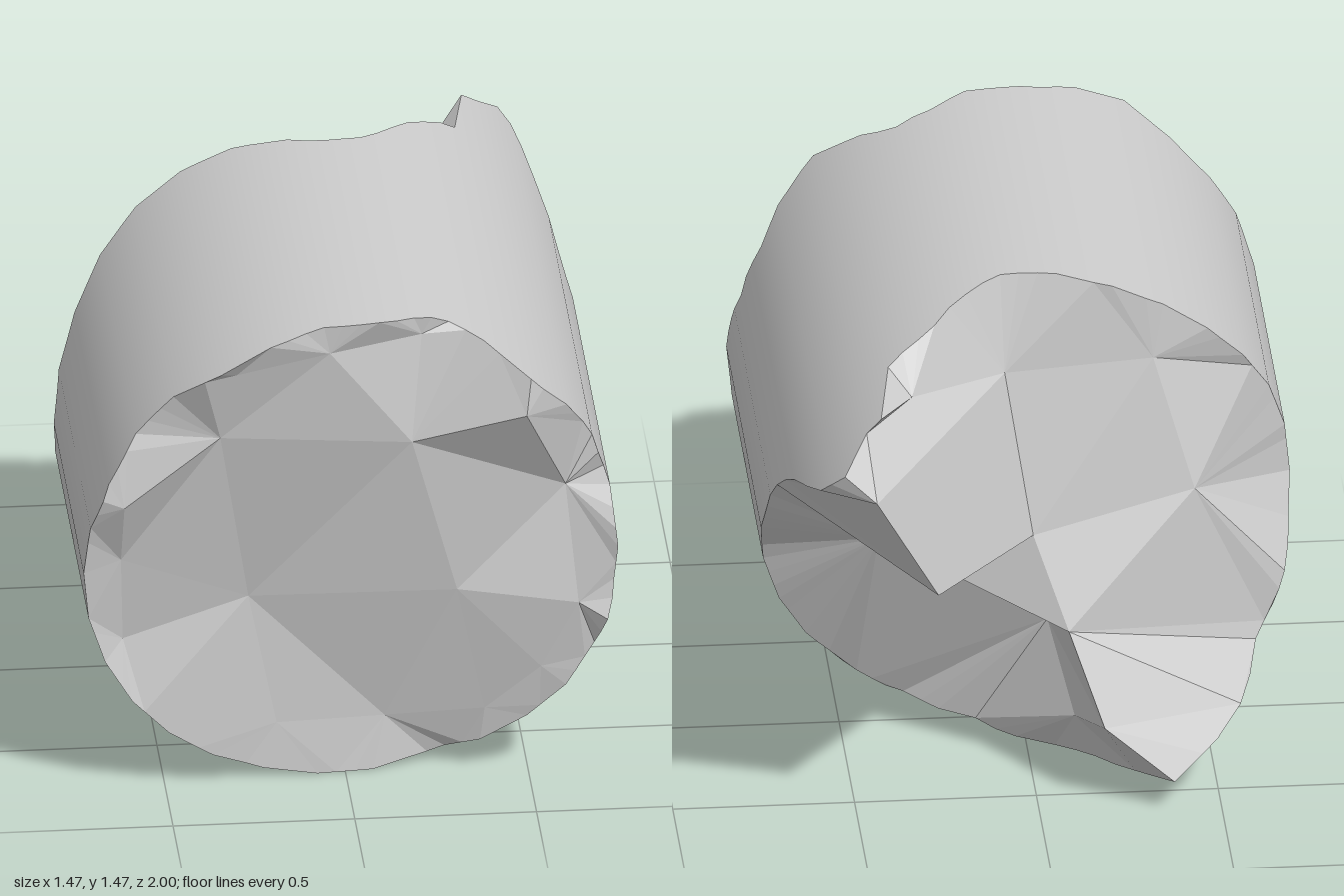
import * as THREE from 'three';

const R = 0.737, STEP = 4, SIDES = 360 / STEP, FACET = 12;

// Ragged rims: [angle in degrees from +x, z]
const frontRim = [
  [0, 0.86], [5, 0.85], [10, 0.81], [15, 0.75], [18, 0.79], [26, 0.76], [35, 0.84], [47, 0.92], [56, 0.87],
  [61, 0.84], [67, 0.80], [75, 0.83], [83, 0.90], [90, 0.915], [98, 0.92], [106, 0.96], [120, 1.0],
  [133, 0.93], [143, 0.92], [150, 0.95], [161, 0.97], [170, 0.92], [180, 0.90], [195, 0.86], [215, 0.83],
  [235, 0.78], [250, 0.73], [265, 0.71], [275, 0.70], [290, 0.66], [300, 0.73], [313, 0.78], [325, 0.83],
  [337, 0.84], [343, 0.91], [350, 0.85], [360, 0.86],
];
const backRim = [
  [0, -0.26], [5, -0.31], [13, -0.38], [17, -0.42], [21, -0.5], [26, -0.63], [30, -0.8], [35, -0.88],
  [42, -0.94], [45, -0.83], [52, -0.79], [56, -0.53], [62, -0.49], [68, -0.43], [74, -0.33], [82, -0.24],
  [90, -0.23], [106, -0.27], [118, -0.27], [133, -0.24], [145, -0.18], [157, -0.1], [172, -0.04],
  [180, -0.03], [190, -0.13], [197, -0.26], [205, -0.24], [212, -0.28], [219, -0.5], [230, -0.58],
  [240, -0.64], [246, -0.52], [255, -0.33], [263, -0.2], [272, -0.13], [280, -0.03], [290, 0.0],
  [297, 0.03], [307, 0.0], [313, 0.01], [320, -0.03], [330, -0.07], [341, -0.12], [351, -0.15], [360, -0.26],
];

// Peaks and dents inside each broken end: [x, y, z]
const frontPeaks = [
  [-0.36, 1.13, 0.89], [0.17, 1.08, 0.86], [0.2, 1.39, 0.82], [0.48, 1.18, 0.93], [0.6, 0.89, 0.77],
  [-0.63, 0.75, 0.85], [-0.63, 0.96, 0.96], [-0.27, 0.57, 0.74], [0.3, 0.59, 0.79], [-0.19, 0.17, 0.72],
  [0.11, 0.16, 0.68], [-0.62, 0.48, 0.79], [0.38, 0.2, 0.74], [0.63, 0.56, 0.84], [0.53, 0.35, 0.8],
  [-0.06, 1.385, 0.91], [-0.32, 1.35, 0.95],
];
const backPeaks = [
  [0, 0.75, -0.4], [0.3, 0.81, -0.87], [0.48, 1.16, -1.0], [0.35, 1.28, -0.59], [0.07, 1.2, -0.3],
  [-0.34, 1.22, -0.28], [-0.45, 0.84, -0.33], [-0.09, 0.5, -0.5], [-0.18, 0.25, -0.6],
  [-0.06, 0.37, -0.15], [-0.12, 0.16, -0.33], [0.41, 0.67, -0.22],
];

function rimZ(profile, deg) {
  const i = Math.max(1, profile.findIndex(p => p[0] >= deg));
  const [a0, z0] = profile[i - 1], [a1, z1] = profile[i];
  return z0 + (z1 - z0) * (deg - a0) / (a1 - a0);
}

// Rim of the many-sided column, corners every FACET degrees
function rimPoints(profile) {
  const rad = Math.PI / 180;
  return Array.from({ length: SIDES }, (_, i) => {
    const deg = i * STEP, t = deg * rad;
    const r = R * Math.cos(FACET / 2 * rad) / Math.cos((deg % FACET - FACET / 2) * rad);
    return [r * Math.cos(t), R + r * Math.sin(t), rimZ(profile, deg)];
  });
}

// Delaunay triangles in the xy plane, counter-clockwise
function triangulate(pts) {
  const tris = [], n = pts.length;
  for (let i = 0; i < n; i++) for (let j = i + 1; j < n; j++) for (let k = j + 1; k < n; k++) {
    const [ax, ay] = pts[i];
    const bx = pts[j][0] - ax, by = pts[j][1] - ay, cx = pts[k][0] - ax, cy = pts[k][1] - ay;
    const d = 2 * (bx * cy - by * cx);
    if (Math.abs(d) < 1e-9) continue;
    const b2 = bx * bx + by * by, c2 = cx * cx + cy * cy;
    const ux = (cy * b2 - by * c2) / d, uy = (bx * c2 - cx * b2) / d, r2 = ux * ux + uy * uy;
    const empty = pts.every((p, m) => m === i || m === j || m === k ||
      (p[0] - ax - ux) ** 2 + (p[1] - ay - uy) ** 2 > r2 - 1e-9);
    if (empty) tris.push(d > 0 ? [i, j, k] : [i, k, j]);
  }
  return tris;
}

function brokenEnd(name, rim, peaks, facing, material) {
  const pts = [...rim, ...peaks];
  const pos = triangulate(pts).flatMap(([a, b, c]) =>
    (facing > 0 ? [a, b, c] : [a, c, b]).flatMap(i => pts[i]));
  const geo = new THREE.BufferGeometry();
  geo.setAttribute('position', new THREE.Float32BufferAttribute(pos, 3));
  geo.computeVertexNormals();
  const mesh = new THREE.Mesh(geo, material);
  mesh.name = name;
  return mesh;
}

// Round wall joining both rims, with smooth radial normals
function wall(front, back, material) {
  const pos = [], normal = [], index = [];
  for (let i = 0; i <= SIDES; i++) {
    const f = front[i % SIDES], b = back[i % SIDES];
    pos.push(...f, ...b);
    for (const p of [f, b]) normal.push(p[0] / R, (p[1] - R) / R, 0);
    if (i < SIDES) {
      const k = i * 2;
      index.push(k, k + 1, k + 2, k + 1, k + 3, k + 2);
    }
  }
  const geo = new THREE.BufferGeometry();
  geo.setAttribute('position', new THREE.Float32BufferAttribute(pos, 3));
  geo.setAttribute('normal', new THREE.Float32BufferAttribute(normal, 3));
  geo.setIndex(index);
  geo.normalizeNormals();
  const mesh = new THREE.Mesh(geo, material);
  mesh.name = 'columnWall';
  return mesh;
}

export function createModel() {
  const group = new THREE.Group();
  group.name = 'brokenColumnPiece';
  const smooth = new THREE.MeshStandardMaterial({ color: 0xcccccc });
  const faceted = new THREE.MeshStandardMaterial({ color: 0xcccccc, flatShading: true });
  const front = rimPoints(frontRim), back = rimPoints(backRim);
  group.add(
    wall(front, back, smooth),
    brokenEnd('frontBreak', front, frontPeaks, 1, faceted),
    brokenEnd('backBreak', back, backPeaks, -1, faceted),
  );
  return group;
}
